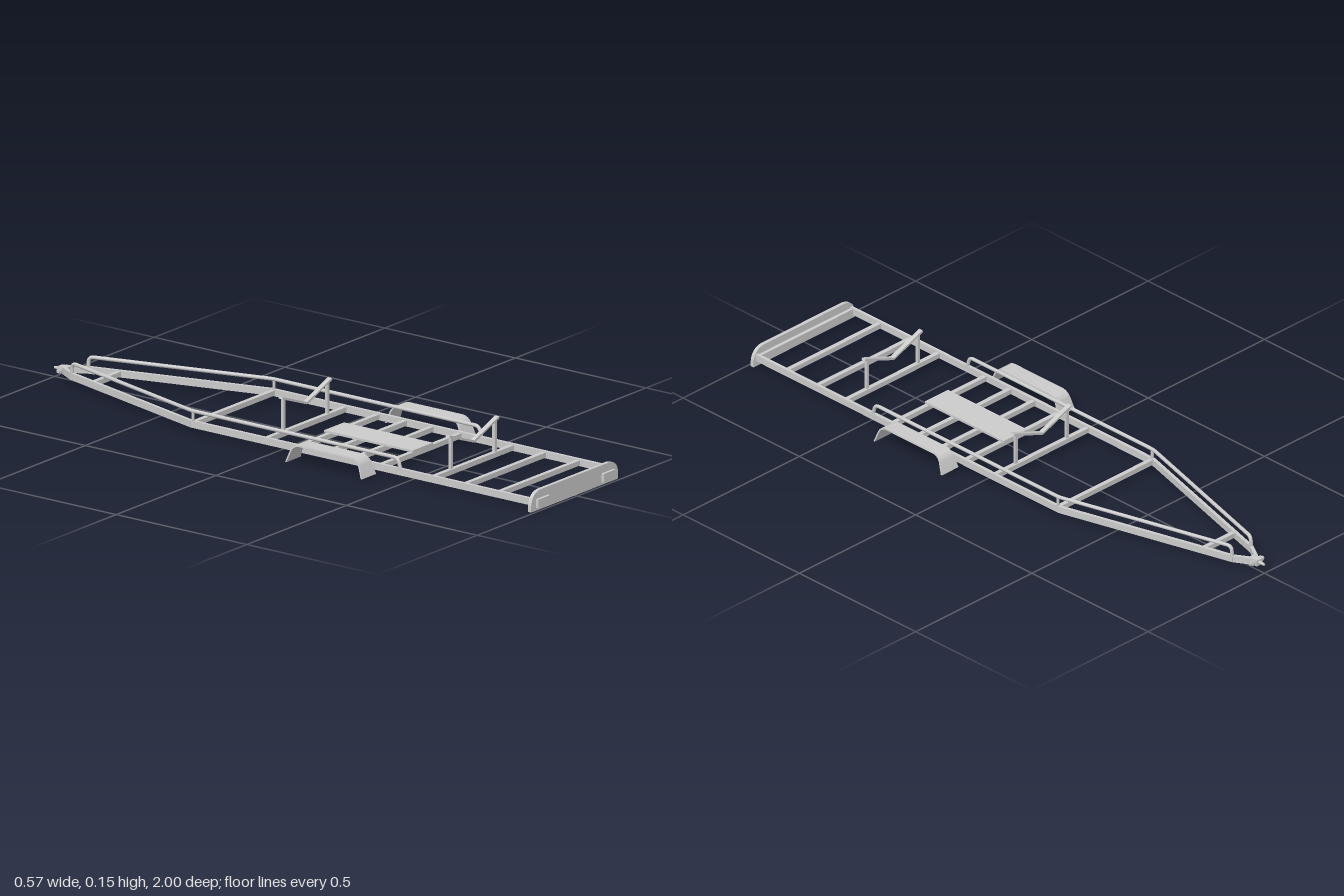
import * as THREE from 'three';
import { toCreasedNormals } from 'three/addons/utils/BufferGeometryUtils.js';

const V = (x, y, z) => new THREE.Vector3(x, y, z);

export function createModel() {
  const model = new THREE.Group();
  const grey = new THREE.MeshStandardMaterial({ color: 0xcccccc });

  const add = (name, geometry, x = 0, y = 0, z = 0) => {
    const mesh = new THREE.Mesh(geometry, grey);
    mesh.name = name;
    mesh.position.set(x, y, z);
    model.add(mesh);
    return mesh;
  };
  const box = (name, w, h, d, x, y, z) => add(name, new THREE.BoxGeometry(w, h, d), x, y, z);

  // Rectangular bar between two points, its length along local z
  const bar = (name, a, b, w, h) => {
    const mid = a.clone().add(b).multiplyScalar(0.5);
    const mesh = box(name, w, h, a.distanceTo(b), mid.x, mid.y, mid.z);
    mesh.lookAt(b);
    return mesh;
  };

  // Round tube along a path with rounded corners
  const bentTube = (name, pts, r, bend) => {
    const path = new THREE.CurvePath();
    let from = pts[0];
    for (let i = 1; i < pts.length - 1; i++) {
      const p = pts[i];
      const a = p.clone().add(pts[i - 1].clone().sub(p).setLength(bend));
      const b = p.clone().add(pts[i + 1].clone().sub(p).setLength(bend));
      path.add(new THREE.LineCurve3(from, a));
      path.add(new THREE.QuadraticBezierCurve3(a, p, b));
      from = b;
    }
    path.add(new THREE.LineCurve3(from, pts[pts.length - 1]));
    add(name, new THREE.TubeGeometry(path, 260, r, 10, false));
  };

  // Fender: an arch strip that flares wider towards its lower ends
  const arch = new THREE.Shape();
  arch.moveTo(-0.147, 0.009);
  arch.lineTo(-0.135, 0.042);
  arch.quadraticCurveTo(-0.126, 0.068, -0.1, 0.068);
  arch.lineTo(0.1, 0.068);
  arch.quadraticCurveTo(0.126, 0.068, 0.135, 0.042);
  arch.lineTo(0.147, 0.009);
  arch.lineTo(0.142, 0.009);
  arch.lineTo(0.13, 0.041);
  arch.quadraticCurveTo(0.121, 0.063, 0.1, 0.063);
  arch.lineTo(-0.1, 0.063);
  arch.quadraticCurveTo(-0.121, 0.063, -0.13, 0.041);
  arch.lineTo(-0.142, 0.009);
  arch.closePath();
  let fender = new THREE.ExtrudeGeometry(arch, { depth: 2, bevelEnabled: false, curveSegments: 10 });
  fender.translate(0, 0, -1).rotateY(Math.PI / 2);
  const pos = fender.attributes.position;
  for (let i = 0; i < pos.count; i++) {
    pos.setX(i, pos.getX(i) * (0.027 + (0.068 - pos.getY(i)) * 0.15));
  }
  fender = toCreasedNormals(fender, 0.6);

  for (const s of [-1, 1]) {
    const side = s > 0 ? 'left' : 'right';
    // Main rail and converging drawbar
    const rail = [V(s * 0.203, 0.03, 0.98), V(s * 0.203, 0.03, -0.32),
      V(s * 0.04, 0.03, -0.905), V(s * 0.009, 0.03, -0.957)];
    for (let i = 0; i < 3; i++) {
      bar(side + (i ? 'Drawbar' : 'Rail'), rail[i], rail[i + 1], 0.011, 0.022);
    }
    // Raised guard tube and its short middle support
    bentTube(side + 'GuardTube', [V(s * 0.203, 0.035, 0.48), V(s * 0.203, 0.0715, 0.47),
      V(s * 0.203, 0.0715, -0.32), V(s * 0.041, 0.0715, -0.9), V(s * 0.041, 0.035, -0.902)], 0.006, 0.016);
    add(side + 'GuardSupport', new THREE.CylinderGeometry(0.005, 0.005, 0.035, 8), s * 0.203, 0.055, -0.315);

    add(side + 'Fender', fender, s * 0.25, 0, 0.248);
    box(side + 'TailLight', 0.06, 0.028, 0.014, s * 0.164, 0.023, 0.993);

    // Hull cradle uprights and sloping arms
    for (const z of [0.6, -0.04]) {
      box(side + 'CradlePost', 0.01, 0.1, 0.01, s * 0.11, 0.089, z);
      bar(side + 'CradleArm', V(0, 0.099, z), V(s * 0.124, 0.146, z), 0.015, 0.007);
    }
  }

  // Cross members of the ladder frame
  for (const z of [-0.315, -0.04, 0.085, 0.19, 0.292, 0.4, 0.6, 0.722, 0.853, 0.975]) {
    box('crossMember', 0.4, 0.016, 0.015, 0, 0.03, z);
  }
  box('drawbarBrace', 0.135, 0.016, 0.015, 0, 0.03, -0.803);

  // Central walkway plate
  box('centrePlate', 0.1, 0.007, 0.34, 0, 0.042, 0.24);

  // Tail board with rounded upper corners
  const w = 0.218, h = 0.063, r = 0.045;
  const board = new THREE.Shape();
  board.moveTo(-w, 0);
  board.lineTo(w, 0);
  board.lineTo(w, h - r);
  board.quadraticCurveTo(w - 0.004, h - 0.003, w - r, h);
  board.lineTo(-w + r, h);
  board.quadraticCurveTo(-w + 0.004, h - 0.003, -w, h - r);
  board.closePath();
  const boardGeo = new THREE.ExtrudeGeometry(board, { depth: 0.012, bevelEnabled: false, curveSegments: 10 });
  add('tailBoard', toCreasedNormals(boardGeo, 0.6), 0, 0, 0.979);

  // Hitch coupler: body, cross pin and nose
  box('couplerBody', 0.024, 0.02, 0.034, 0, 0.03, -0.962);
  add('couplerPin', new THREE.CylinderGeometry(0.006, 0.006, 0.056, 10).rotateZ(Math.PI / 2), 0, 0.03, -0.966);
  for (const s of [-1, 1]) {
    add('couplerNut', new THREE.CylinderGeometry(0.01, 0.01, 0.007, 6).rotateZ(Math.PI / 2), s * 0.018, 0.03, -0.966);
  }
  add('couplerNose', new THREE.CylinderGeometry(0.004, 0.007, 0.03, 10).rotateX(-Math.PI / 2), 0, 0.03, -0.985);

  return model;
}
